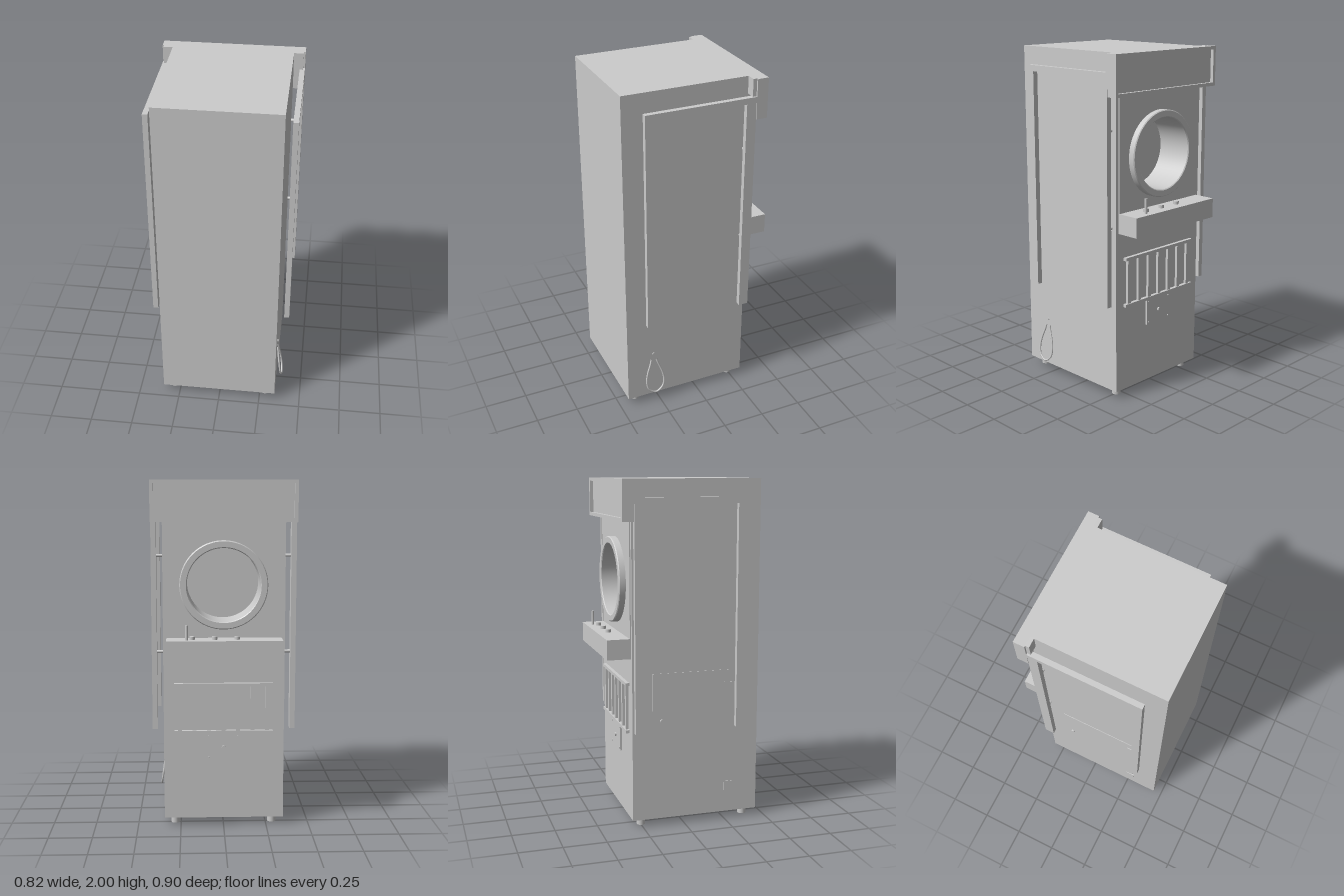
import * as THREE from 'three';
import { toCreasedNormals } from 'three/addons/utils/BufferGeometryUtils.js';

const material = new THREE.MeshStandardMaterial({ color: 0xcccccc });

export function createModel() {
  const root = new THREE.Group();

  const add = (name, geometry, parent = root) => {
    const mesh = new THREE.Mesh(geometry, material);
    mesh.name = name;
    parent.add(mesh);
    return mesh;
  };
  const group = (name) => {
    const g = new THREE.Group();
    g.name = name;
    root.add(g);
    return g;
  };
  // Box from its limits on each axis
  const box = (name, [x0, x1], [y0, y1], [z0, z1], parent) => {
    const mesh = add(name, new THREE.BoxGeometry(x1 - x0, y1 - y0, z1 - z0), parent);
    mesh.position.set((x0 + x1) / 2, (y0 + y1) / 2, (z0 + z1) / 2);
    return mesh;
  };
  const cylinder = (name, r, h, [x, y, z], axis = 'y', parent) => {
    const mesh = add(name, new THREE.CylinderGeometry(r, r, h, 24), parent);
    if (axis === 'x') mesh.rotation.z = Math.PI / 2;
    if (axis === 'z') mesh.rotation.x = Math.PI / 2;
    mesh.position.set(x, y, z);
    return mesh;
  };
  // Rectangle outline used for plates with openings
  const rect = (Type, x0, x1, y0, y1) => {
    const s = new Type();
    s.moveTo(x0, y0).lineTo(x1, y0).lineTo(x1, y1).lineTo(x0, y1).closePath();
    return s;
  };
  const plate = (name, shape, z0, z1, parent) => {
    const geometry = new THREE.ExtrudeGeometry(shape, { depth: z1 - z0, bevelEnabled: false, curveSegments: 48 });
    const mesh = add(name, geometry, parent);
    mesh.position.z = z0;
    return mesh;
  };
  const roundHole = (shape, y, r) => {
    const hole = new THREE.Path();
    hole.absarc(0, y, r, 0, Math.PI * 2, true);
    shape.holes.push(hole);
    return shape;
  };

  // Cabinet: solid rear, opened front section and thin panel round the porthole
  const portY = 1.417;
  const cabinet = group('cabinet');
  box('cabinetRear', [-0.35, 0.345], [0.045, 2], [-0.12, 0.45], cabinet);
  plate('cabinetFront', roundHole(rect(THREE.Shape, -0.35, 0.345, 0.045, 2), portY, 0.225), -0.31, -0.12, cabinet);
  plate('portholePanel', roundHole(rect(THREE.Shape, -0.33, 0.325, 1.115, 1.77), portY, 0.225), -0.316, -0.31, cabinet);

  // Porthole ring running back into the drum
  const profile = [[0.25, 0.31], [0.25, 0.35], [0.245, 0.355], [0.213, 0.355], [0.208, 0.35], [0.208, 0.135], [0, 0.135]];
  const lathe = new THREE.LatheGeometry(profile.map(([r, y]) => new THREE.Vector2(r, y)), 64);
  const porthole = add('portholeAndDrum', toCreasedNormals(lathe, 0.6));
  porthole.rotation.x = -Math.PI / 2;
  porthole.position.y = portY;

  // Header with a recessed face
  const header = group('header');
  box('headerBody', [-0.412, 0.41], [1.77, 2], [-0.355, -0.31], header);
  const frame = rect(THREE.Shape, -0.412, 0.41, 1.77, 2);
  frame.holes.push(rect(THREE.Path, -0.392, 0.39, 1.79, 1.98));
  plate('headerFrame', frame, -0.375, -0.355, header);

  // Side rails on stand-off rods
  for (const side of [-1, 1]) {
    const rail = group(side > 0 ? 'leftRail' : 'rightRail');
    const span = (a, b) => (side > 0 ? [a, b] : [-b - 0.003, -a - 0.003]);
    box('railRearPost', span(0.38, 0.41), [0.58, 1.865], [0.295, 0.342], rail);
    box('railFrontPost', span(0.38, 0.41), [0.58, 1.865], [-0.307, -0.25], rail);
    box('railTopBar', span(0.38, 0.41), [1.865, 1.9], [-0.312, 0.342], rail);
    box('headerBracket', span(0.343, 0.4), [1.9, 2], [-0.312, -0.288], rail);
    for (const y of [1.03, 1.58])
      cylinder('standOff', 0.009, 0.06, [side * 0.367, y, -0.273], 'x', rail);
  }

  // Control shelf with knobs and lever
  const shelf = group('controlShelf');
  box('shelfBody', [-0.33, 0.325], [1, 1.115], [-0.448, -0.31], shelf);
  for (const x of [-0.075, 0.052, 0.179])
    cylinder('knob', 0.016, 0.018, [x, 1.124, -0.381], 'y', shelf);
  cylinder('lever', 0.008, 0.085, [0.21, 1.157, -0.409], 'y', shelf);

  // Vent grille
  const grille = group('ventGrille');
  for (const y of [0.565, 0.843])
    box('grilleRail', [-0.285, 0.285], [y - 0.009, y + 0.009], [-0.331, -0.31], grille);
  for (let i = 0; i < 7; i++) {
    const x = -0.252 + i * 0.084;
    box('grilleBar', [x - 0.012, x + 0.012], [0.57, 0.84], [-0.326, -0.31], grille);
  }

  // Lock plate with central lock and corner screws
  const lock = group('lockPlate');
  box('plate', [-0.1, 0.1], [0.398, 0.557], [-0.321, -0.31], lock);
  cylinder('lock', 0.011, 0.012, [0, 0.472, -0.324], 'z', lock);
  for (const x of [-0.085, 0.085])
    for (const y of [0.412, 0.54]) cylinder('screw', 0.005, 0.006, [x, y, -0.322], 'z', lock);

  // Service door on the right side
  const door = group('serviceDoor');
  box('doorPanel', [-0.353, -0.349], [0.12, 0.91], [-0.19, 0.285], door);
  for (const y of [0.205, 0.81])
    box('hinge', [-0.357, -0.349], [y - 0.028, y + 0.028], [0.243, 0.295], door);
  cylinder('doorKnob', 0.011, 0.014, [-0.355, 0.63, -0.137], 'x', door);

  // Feet
  for (const x of [-0.288, 0.283])
    for (const z of [-0.247, 0.387]) cylinder('foot', 0.025, 0.046, [x, 0.023, z]);

  // Looped power cord hanging from the left side
  const half = [[0.3, 0.016], [0.27, 0.024], [0.21, 0.046], [0.155, 0.056], [0.105, 0.045]];
  const hang = (y, dz) => new THREE.Vector3(0.348 + (0.3 - y) * 0.137, y, 0.283 + dz);
  const loop = [
    ...half.map(([y, d]) => hang(y, d)),
    hang(0.075, 0),
    ...half.slice().reverse().map(([y, d]) => hang(y, -d)),
  ];
  const cord = group('powerCord');
  add('cordLoop', new THREE.TubeGeometry(new THREE.CatmullRomCurve3(loop), 80, 0.0055, 8), cord);
  cylinder('cordOutlet', 0.008, 0.008, [0.347, 0.338, 0.283], 'x', cord);

  return root;
}
